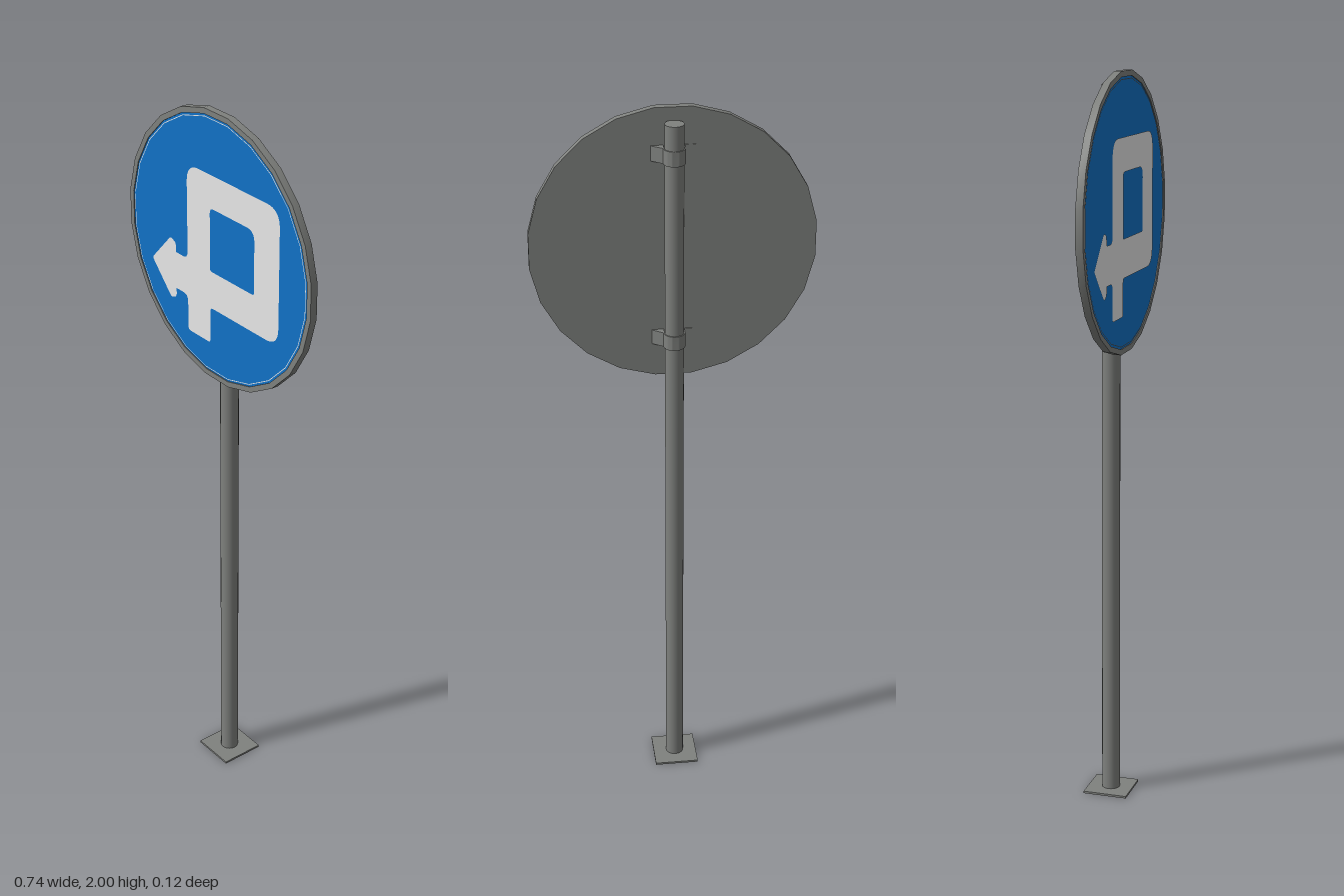
import * as THREE from 'three';
import { toCreasedNormals } from 'three/addons/utils/BufferGeometryUtils.js';

const SIDES = 24;
const SIGN_Y = 1.63;
const BACK_Z = 0.023;

// Traces a closed polygon of [x, y, cornerRadius] onto a path, rounding its corners
function roundedPath(path, points) {
  const n = points.length;
  points.forEach(([x, y, r], i) => {
    const toward = ([px, py]) => {
      const d = Math.hypot(px - x, py - y);
      return [x + ((px - x) * r) / d, y + ((py - y) * r) / d];
    };
    const a = toward(points[(i + n - 1) % n]);
    const b = toward(points[(i + 1) % n]);
    if (i === 0) path.moveTo(...a);
    else path.lineTo(...a);
    if (r > 0) path.quadraticCurveTo(x, y, ...b);
  });
  path.closePath();
  return path;
}

export function createModel() {
  const steel = new THREE.MeshStandardMaterial({ color: 0x7f817e });
  const blue = new THREE.MeshStandardMaterial({ color: 0x1171c6 });
  const white = new THREE.MeshStandardMaterial({ color: 0xeeeeee });
  steel.name = 'galvanised steel';
  blue.name = 'sign blue';
  white.name = 'sign white';

  const model = new THREE.Group();
  model.name = 'roadSign';
  const add = (name, geometry, material, x, y, z, parent = model) => {
    const mesh = new THREE.Mesh(geometry, material);
    mesh.name = name;
    mesh.position.set(x, y, z);
    parent.add(mesh);
    return mesh;
  };

  // Base plate and pole
  add('basePlate', new THREE.BoxGeometry(0.124, 0.006, 0.124), steel, 0, 0.003, 0);
  add('pole', new THREE.CylinderGeometry(0.025, 0.025, 1.96, 20), steel, 0, 0.985, 0);

  // Round sign tray with a raised rim
  const R = 0.37 / Math.cos(Math.PI / SIDES);
  const profile = [[0, 0], [R, 0], [R, 0.02], [0.358, 0.02], [0.358, 0.016], [0, 0.016]]
    .map(([x, y]) => new THREE.Vector2(x, y));
  const tray = new THREE.LatheGeometry(profile, SIDES, Math.PI / SIDES).rotateX(Math.PI / 2);
  add('signTray', toCreasedNormals(tray, 0.6), steel, 0, SIGN_Y, BACK_Z);

  // Blue face and its fine white border line
  const start = Math.PI / SIDES;
  add('blueFace', new THREE.CircleGeometry(0.358, SIDES, start), blue, 0, SIGN_Y, BACK_Z + 0.0175);
  add('borderLine', new THREE.RingGeometry(0.3505, 0.3525, SIDES, 1, start), white, 0, SIGN_Y, BACK_Z + 0.019);

  // White looping arrow
  const arrow = roundedPath(new THREE.Shape(), [
    [-0.122, 1.36, 0.01], [-0.027, 1.36, 0.01], [-0.027, 1.462, 0.012],
    [0.249, 1.462, 0.05], [0.249, 1.831, 0.05], [-0.122, 1.831, 0.05],
    [-0.122, 1.566, 0.02], [-0.172, 1.566, 0], [-0.172, 1.592, 0.01],
    [-0.195, 1.602, 0.01], [-0.277, 1.514, 0.008], [-0.195, 1.427, 0.01],
    [-0.172, 1.437, 0.01], [-0.172, 1.462, 0], [-0.122, 1.462, 0.02],
  ]);
  arrow.holes.push(roundedPath(new THREE.Path(), [
    [-0.027, 1.566, 0.008], [-0.027, 1.741, 0.015], [0.152, 1.741, 0.03], [0.152, 1.566, 0.008],
  ]));
  add('arrow', new THREE.ShapeGeometry(arrow, 8), white, 0, 0, BACK_Z + 0.019);

  // Two strap clamps: a U around the pole with flanges flat on the sign back
  const strap = new THREE.Shape();
  const inner = 0.0255, outer = 0.0285, flange = 0.057, t = 0.002;
  strap.moveTo(outer, -BACK_Z + t);
  strap.absarc(0, 0, outer, 0, Math.PI, false);
  strap.lineTo(-outer, -BACK_Z + t);
  strap.lineTo(-flange, -BACK_Z + t);
  strap.lineTo(-flange, -BACK_Z);
  strap.lineTo(-inner, -BACK_Z);
  strap.absarc(0, 0, inner, Math.PI, 0, true);
  strap.lineTo(inner, -BACK_Z);
  strap.lineTo(flange, -BACK_Z);
  strap.lineTo(flange, -BACK_Z + t);
  strap.closePath();
  const height = 0.04;
  const strapGeometry = toCreasedNormals(
    new THREE.ExtrudeGeometry(strap, { depth: height, bevelEnabled: false, curveSegments: 12 })
      .translate(0, 0, -height / 2).rotateX(-Math.PI / 2), 0.6);
  [['upperClamp', 1.882], ['lowerClamp', 1.373]].forEach(([name, y]) =>
    add(name, strapGeometry, steel, 0, y, 0));

  return model;
}
